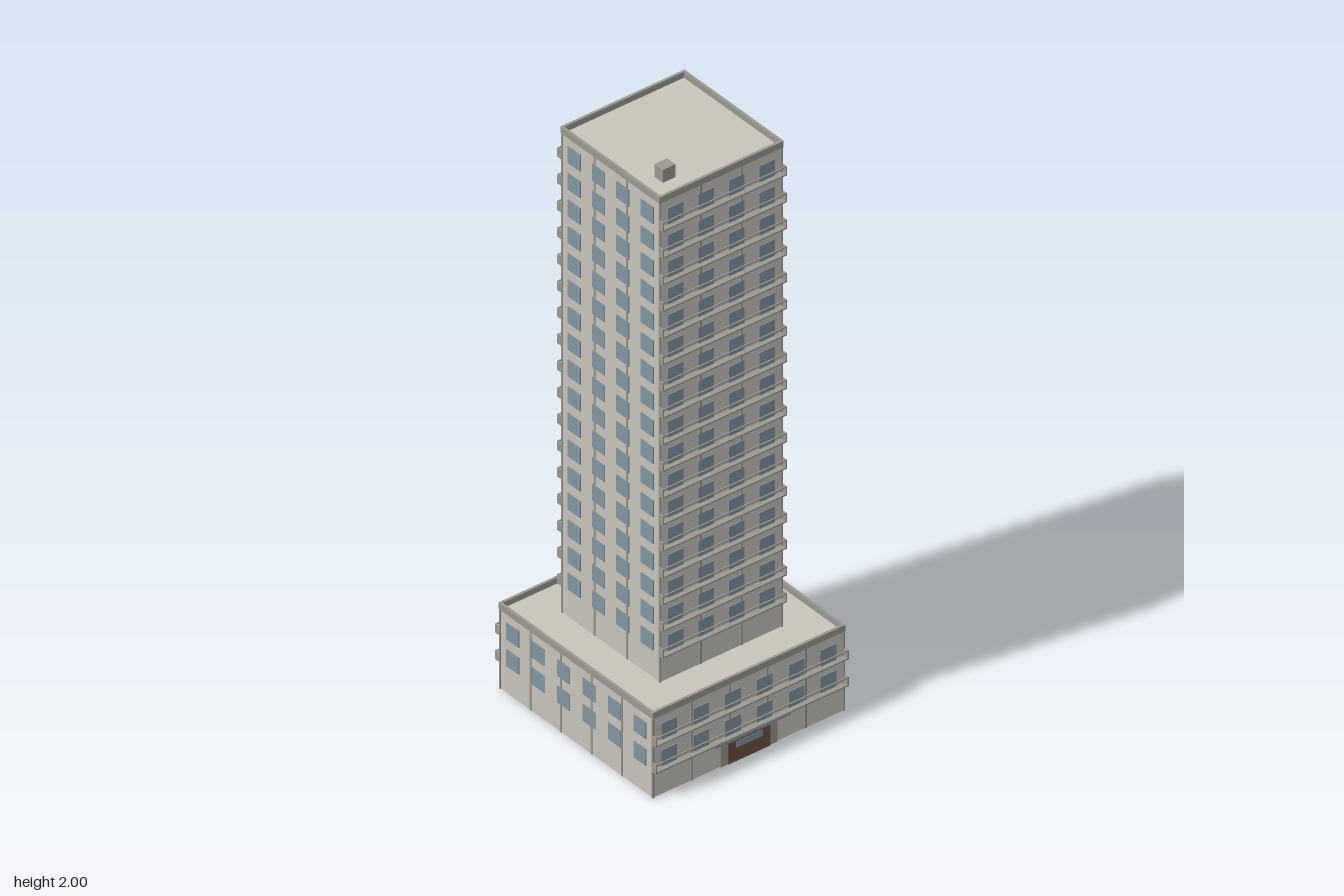
import * as THREE from 'three';

const FLOOR = 0.0931;
const mat = (color) => new THREE.MeshStandardMaterial({ color });

export function createModel() {
  const wall = mat(0xc8c4ba), trim = mat(0x9a988e), glass = mat(0x7f95a3);
  const wood = mat(0x6e5140), canopyGlass = mat(0x7d93a8);
  const model = new THREE.Group();
  model.name = 'towerBlock';

  // Box centred on x and z, standing on y
  function box(parent, name, material, w, h, d, x, y, z) {
    const mesh = new THREE.Mesh(new THREE.BoxGeometry(w, h, d), material);
    mesh.name = name;
    mesh.position.set(x, y + h / 2, z);
    parent.add(mesh);
    return mesh;
  }

  // Rail, floor slab and end panels along one facade
  function balcony(parent, half, y) {
    const g = new THREE.Group();
    g.name = 'balcony';
    const w = 2 * half + 0.008, z = half + 0.0095;
    box(g, 'balconySlab', trim, w, 0.005, 0.019, 0, y, z);
    box(g, 'balconyRail', trim, w, 0.004, 0.004, 0, y + 0.028, half + 0.017);
    for (const s of [-1, 1]) {
      box(g, 'balconyEnd', trim, 0.004, 0.032, 0.019, s * (half + 0.002), y, z);
    }
    parent.add(g);
  }

  // A square block with windows, joints, balconies and a parapet
  function block(name, half, base, top, firstFloor, lastFloor, columns, spacing, bays) {
    const g = new THREE.Group();
    g.name = name;
    box(g, name + 'Walls', wall, 2 * half, top - base, 2 * half, 0, base, 0);
    for (let side = 0; side < 4; side++) {
      const face = new THREE.Group();
      face.name = name + 'Facade';
      face.rotation.y = side * Math.PI / 2;
      // Vertical joints between the wall panels
      for (let i = 0; i <= bays; i++) {
        const x = -half + (2 * half * i) / bays;
        box(face, 'wallJoint', trim, 0.006, top - base, 0.005, x, base, half);
      }
      for (let f = firstFloor; f <= lastFloor; f++) {
        for (let c = 0; c < columns; c++) {
          const x = (c - (columns - 1) / 2) * spacing;
          box(face, 'window', glass, 0.057, 0.058, 0.006, x, f * FLOOR + 0.003, half);
        }
        if (side % 2 === 0) balcony(face, half, f * FLOOR);
      }
      // Parapet
      box(face, 'parapet', trim, 2 * half + 0.008, 0.022, 0.009, 0, top - 0.002, half);
      g.add(face);
    }
    model.add(g);
  }

  block('podium', 0.349, 0, 3 * FLOOR, 1, 2, 6, 0.1165, 5);
  block('tower', 0.223, 3 * FLOOR, 21 * FLOOR, 4, 20, 4, 0.1115, 3);

  // Rooftop plant box
  box(model, 'roofBox', trim, 0.046, 2 - 21 * FLOOR, 0.038, -0.133, 21 * FLOOR, 0.134);

  // Main entrance on the front
  const entrance = new THREE.Group();
  entrance.name = 'entrance';
  box(entrance, 'doorSurround', trim, 0.208, 0.084, 0.008, 0, 0, 0.349);
  box(entrance, 'door', wood, 0.154, 0.073, 0.012, 0, 0, 0.349);
  box(entrance, 'doorWindow', glass, 0.096, 0.022, 0.015, 0, 0.047, 0.349);
  box(entrance, 'canopy', canopyGlass, 0.278, 0.006, 0.02, 0, 0.086, 0.3575);
  model.add(entrance);

  return model;
}
